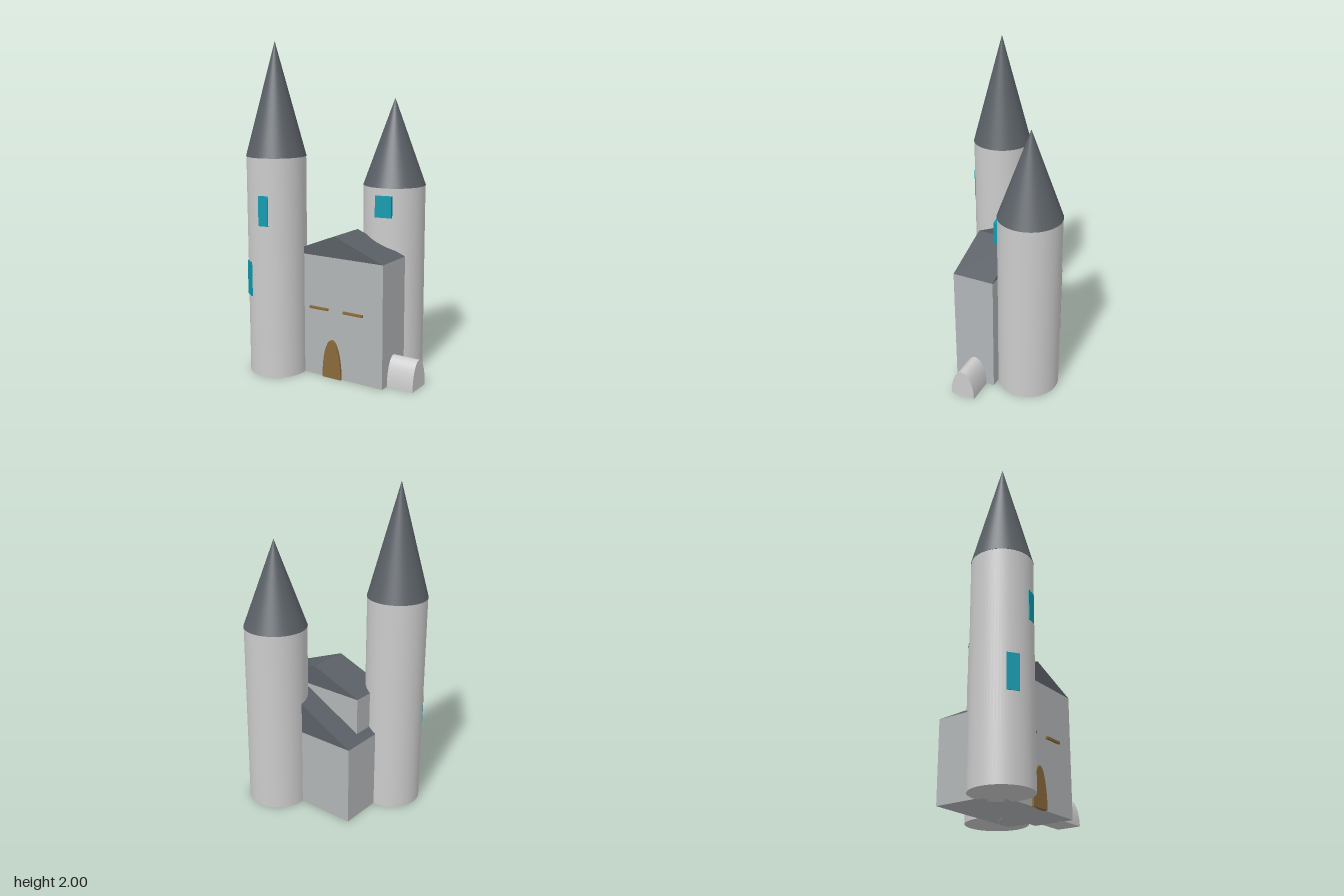
import * as THREE from 'three';

const mat = (color) => new THREE.MeshStandardMaterial({ color });
const stone = mat(0xcccccc);
const wall = mat(0xb2b5b7);
const slate = mat(0x5a6066);
const wood = mat(0x8a6a3a);
const glass = mat(0x0f9bb0);

function add(parent, name, geometry, material, x = 0, y = 0, z = 0) {
  const mesh = new THREE.Mesh(geometry, material);
  mesh.name = name;
  mesh.position.set(x, y, z);
  parent.add(mesh);
  return mesh;
}

// Round tower with a pointed roof and flat window panes set on its wall.
// Each window: [angle from the front, centre height, width, height, projection]
function tower(name, x, z, radius, height, tip, windows) {
  const g = new THREE.Group();
  g.name = name;
  g.position.set(x, 0, z);
  add(g, 'towerWall', new THREE.CylinderGeometry(radius, radius, height, 64), stone, 0, height / 2);
  add(g, 'towerRoof', new THREE.ConeGeometry(radius + 0.002, tip - height, 64), slate, 0, (tip + height) / 2);
  for (const [angle, y, w, h, out] of windows) {
    const r = radius + out - 0.015;
    const pane = add(g, 'towerWindow', new THREE.BoxGeometry(w, h, 0.03), glass,
      Math.sin(angle) * r, y, Math.cos(angle) * r);
    pane.rotation.y = angle;
  }
  return g;
}

// Box walls under a gabled roof whose ridge runs front to back
function house(name, x0, x1, z0, z1, eave, ridgeX, ridgeY) {
  const g = new THREE.Group();
  g.name = name;
  add(g, 'walls', new THREE.BoxGeometry(x1 - x0, eave, z1 - z0), wall, (x0 + x1) / 2, eave / 2, (z0 + z1) / 2);
  const gable = new THREE.Shape([
    new THREE.Vector2(x0, eave), new THREE.Vector2(x1, eave), new THREE.Vector2(ridgeX, ridgeY),
  ]);
  add(g, 'gableRoof', new THREE.ExtrudeGeometry(gable, { depth: z1 - z0, bevelEnabled: false }), slate, 0, 0, z0);
  return g;
}

// Half-ellipse arch standing on the ground, extruded along z
function archGeometry(halfWidth, height, depth) {
  const s = new THREE.Shape();
  s.moveTo(halfWidth, 0);
  s.absellipse(0, 0, halfWidth, height, 0, Math.PI, false);
  s.closePath();
  return new THREE.ExtrudeGeometry(s, { depth, bevelEnabled: false, curveSegments: 32 });
}

export function createModel() {
  const model = new THREE.Group();
  model.name = 'castle';

  model.add(tower('tallTower', -0.358, 0.231, 0.178, 1.33, 2, [
    [0.175, 1.02, 0.062, 0.18, 0.003],
    [-0.6, 0.595, 0.072, 0.21, 0.003],
  ]));
  model.add(tower('shortTower', 0.2, -0.22, 0.189, 1.145, 1.67, [
    [0.17, 1.035, 0.103, 0.13, 0.014],
  ]));

  model.add(house('mainHall', -0.295, 0.365, -0.06, 0.2, 0.745, 0.035, 0.875));
  model.add(house('rearHall', -0.35, 0.3, -0.21, 0.1, 0.49, 0.1, 0.73));

  // Vaulted side passage
  const passage = add(model, 'sidePassage', archGeometry(0.077, 0.175, 0.19), stone, 0.345, 0, 0.067);
  passage.rotation.y = Math.PI / 2;

  // Arched door and the two slit windows above it
  add(model, 'door', archGeometry(0.065, 0.238, 0.025), wood, 0.02, 0, 0.189);
  for (const x of [-0.073, 0.167]) {
    add(model, 'slitWindow', new THREE.BoxGeometry(0.132, 0.014, 0.025), wood, x, 0.423, 0.2015);
  }

  return model;
}
